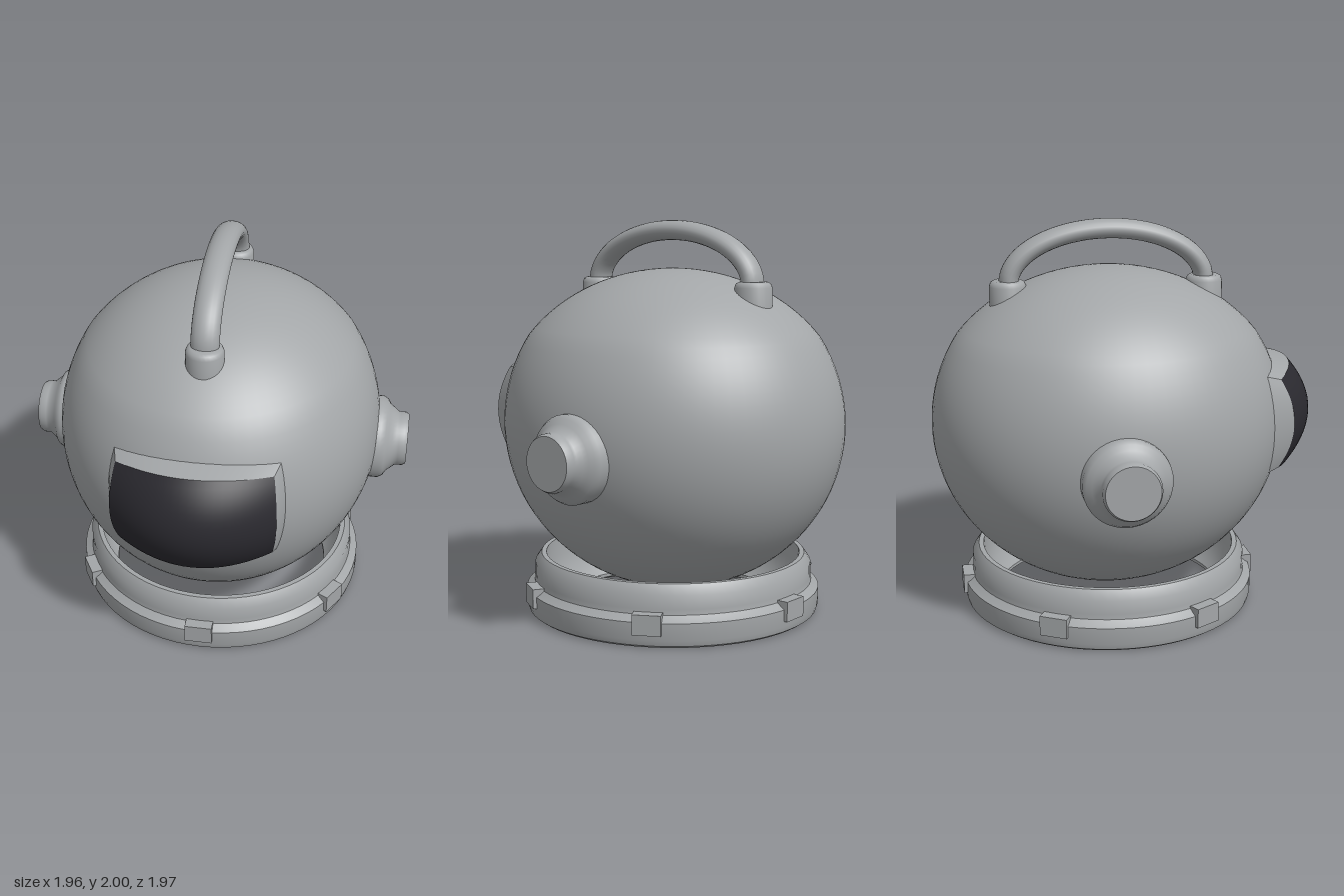
import * as THREE from 'three';
import { toCreasedNormals } from 'three/addons/utils/BufferGeometryUtils.js';

const CZ = -0.08; // shared centre line of shell, collar and handle

export function createModel() {
  const shellGrey = new THREE.MeshStandardMaterial({ color: 0xa3a6a8 });
  shellGrey.name = 'shell grey';
  const visorBlack = new THREE.MeshStandardMaterial({ color: 0x2b2a30 });
  visorBlack.name = 'visor black';

  const model = new THREE.Group();
  model.name = 'divingHelmet';
  const add = (name, geometry, material = shellGrey, parent = model) => {
    const mesh = new THREE.Mesh(geometry, material);
    mesh.name = name;
    parent.add(mesh);
    return mesh;
  };
  const lathe = (points, segments) =>
    new THREE.LatheGeometry(points.map(([r, y]) => new THREE.Vector2(r, y)), segments);

  // Egg-like shell, slightly deeper than wide, with a flatter crown above the seam
  const profile = [];
  const bodyTop = Math.asin(0.45 / 0.85);
  const crownStart = Math.asin(0.45 / 0.79);
  for (let i = 0; i <= 32; i++) {
    const a = -Math.PI / 2 + (bodyTop + Math.PI / 2) * i / 32;
    profile.push([Math.max(0, 0.83 * Math.cos(a)), 0.97 + 0.85 * Math.sin(a)]);
  }
  for (let i = 1; i <= 16; i++) {
    const a = crownStart + (Math.PI / 2 - crownStart) * i / 16;
    profile.push([Math.max(0, 0.857 * Math.cos(a)), 0.97 + 0.79 * Math.sin(a)]);
  }
  const shell = lathe(profile, 72);
  shell.scale(1, 1, 0.905 / 0.83);
  add('shell', shell).position.z = CZ;

  // Bulging visor: a box bent so its front is the glass and its sides the frame
  const visor = new THREE.BoxGeometry(2, 2, 1, 20, 16, 1);
  const p = visor.attributes.position;
  for (let i = 0; i < p.count; i++) {
    const u = p.getX(i), v = p.getY(i), uu = u * u, vv = v * v;
    if (p.getZ(i) > 0) {
      p.setXYZ(i, 0.4 * u * (1 - 0.06 * vv), 0.995 + 0.265 * v * (1 - 0.13 * uu),
        0.985 - 0.18 * uu - 0.12 * vv + 0.05 * uu * vv);
    } else {
      p.setXYZ(i, 0.435 * u * (1 - 0.07 * vv), 0.99 + 0.295 * v * (1 - 0.1 * uu),
        0.79 - 0.12 * uu - 0.05 * vv + 0.01 * uu * vv);
    }
  }
  visor.computeVertexNormals();
  add('visor', visor, [0, 1, 2, 3, 4, 5].map((side) => (side === 4 ? visorBlack : shellGrey)));

  // Stepped round fittings on both sides
  const fitting = [[0.215, 0.68], [0.215, 0.84], [0.2, 0.865], [0.175, 0.88], [0.16, 0.9],
    [0.143, 0.92], [0.14, 0.935], [0.14, 0.96], [0.13, 0.978], [0, 0.978]];
  for (const side of [1, -1]) {
    const geometry = toCreasedNormals(lathe(fitting, 40), 0.75);
    geometry.rotateZ(-side * Math.PI / 2);
    add(side > 0 ? 'leftFitting' : 'rightFitting', geometry).position.set(0, 0.89, -0.13);
  }

  // Carrying handle: an oval tube on a half ellipse, with a socket at each end
  const arc = [];
  for (let i = 0; i <= 16; i++) {
    const a = Math.PI * i / 16;
    arc.push(new THREE.Vector3(0, 1.68 + 0.27 * Math.sin(a), 0.5 * Math.cos(a)));
  }
  const handle = new THREE.TubeGeometry(new THREE.CatmullRomCurve3(arc), 48, 0.05, 20);
  handle.scale(1.38, 1, 1);
  add('handle', handle).position.z = CZ;
  const socket = [[0.093, 1.5], [0.093, 1.675], [0.085, 1.695], [0.07, 1.703], [0, 1.703]];
  for (const side of [1, -1]) {
    add(side > 0 ? 'frontSocket' : 'backSocket', toCreasedNormals(lathe(socket, 28), 0.8))
      .position.z = CZ + side * 0.503;
  }

  // Open neck collar with a stepped outside and a flared inside
  const collar = [[0.6, 0.005], [0.66, 0], [0.735, 0], [0.752, 0.012], [0.76, 0.04], [0.76, 0.125],
    [0.745, 0.135], [0.722, 0.155], [0.718, 0.18], [0.718, 0.25], [0.685, 0.297], [0.66, 0.297],
    [0.655, 0.2], [0.635, 0.12], [0.6, 0.06], [0.58, 0.035], [0.58, 0.018], [0.6, 0.005]];
  add('collar', toCreasedNormals(lathe(collar, 72), 0.65)).position.z = CZ;

  // Six clips spaced around the collar
  const clips = new THREE.Group();
  clips.name = 'collarClips';
  clips.position.z = CZ;
  for (let i = 0; i < 6; i++) {
    const a = i * Math.PI / 3;
    const clip = add('clip', new THREE.BoxGeometry(0.14, 0.1, 0.08), shellGrey, clips);
    clip.position.set(0.735 * Math.sin(a), 0.117, 0.735 * Math.cos(a));
    clip.rotation.y = a;
  }
  model.add(clips);
  return model;
}
